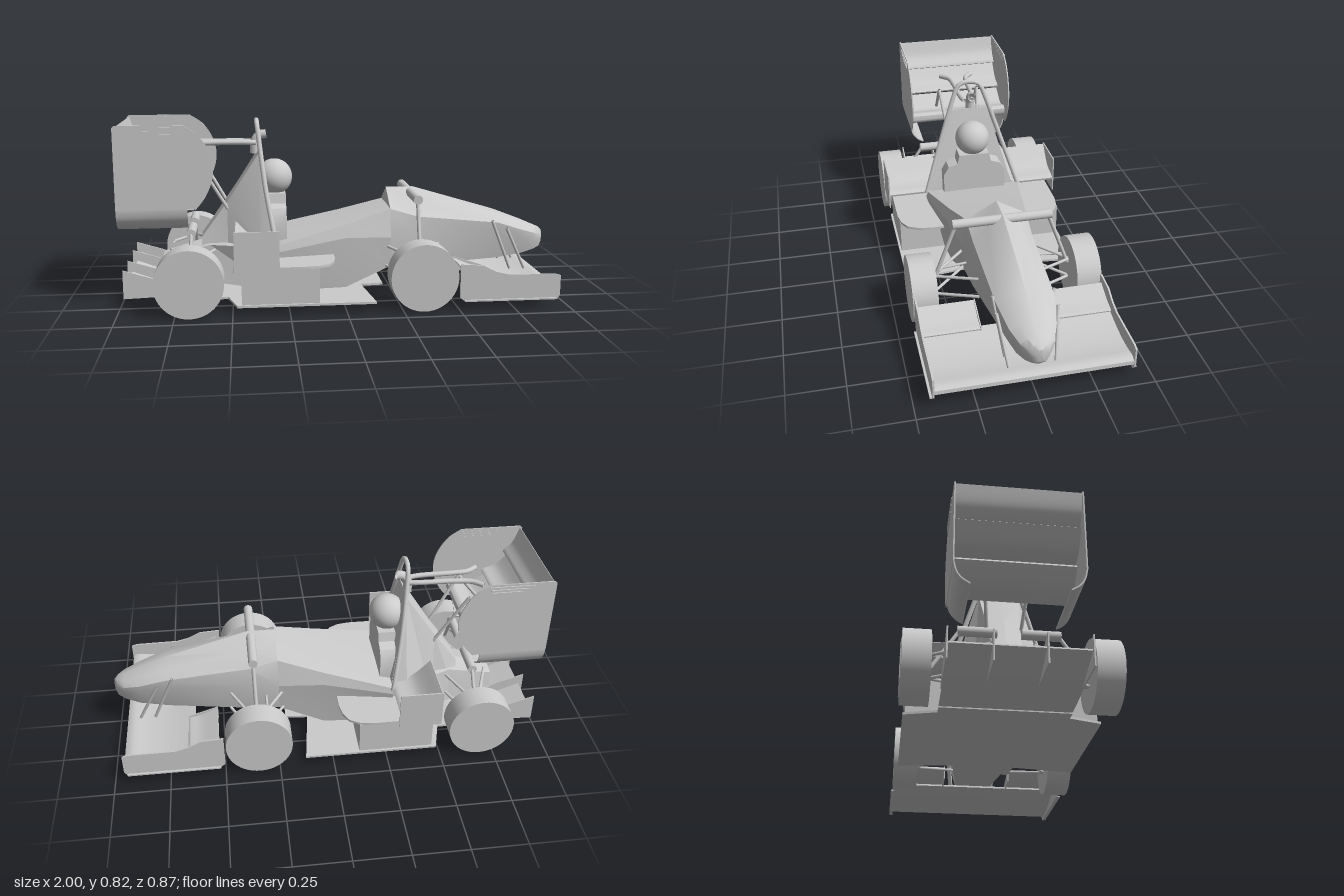
import * as THREE from 'three';
import { toCreasedNormals } from 'three/addons/utils/BufferGeometryUtils.js';

const mat = new THREE.MeshStandardMaterial({ color: 0xcccccc, side: THREE.DoubleSide });
const V = (a) => new THREE.Vector3(...a);
const shapeOf = (pts) => new THREE.Shape(pts.map(([a, b]) => new THREE.Vector2(a, b)));
const spline = (pts) => new THREE.SplineCurve(pts.map(([a, b]) => new THREE.Vector2(a, b)));

export function createModel() {
  const car = new THREE.Group();
  car.name = 'raceCar';

  const add = (name, geo) => {
    const m = new THREE.Mesh(geo, mat);
    m.name = name;
    car.add(m);
    return m;
  };
  // straight rod between two points
  const rod = (name, a, b, r) => add(name, new THREE.TubeGeometry(new THREE.LineCurve3(V(a), V(b)), 1, r, 10));
  // bent pipe through points
  const pipe = (name, pts, r) => add(name,
    new THREE.TubeGeometry(new THREE.CatmullRomCurve3(pts.map(V), false, 'centripetal'), 48, r, 12));
  // capped cylinder lying along z
  const barrel = (name, r, length, x, y, z) =>
    add(name, new THREE.CylinderGeometry(r, r, length, 48).rotateX(Math.PI / 2)).position.set(x, y, z);
  // side outline (x, y) extruded from z0 to z1
  const slabZ = (name, pts, z0, z1) => {
    const g = new THREE.ExtrudeGeometry(shapeOf(pts), { depth: z1 - z0, bevelEnabled: false });
    return add(name, toCreasedNormals(g.translate(0, 0, z0), 0.6));
  };
  // front outline (z, y) extruded from x0 to x1
  const slabX = (name, pts, x0, x1) => {
    const g = new THREE.ExtrudeGeometry(shapeOf(pts), { depth: x1 - x0, bevelEnabled: false });
    return add(name, toCreasedNormals(g.rotateY(-Math.PI / 2).translate(x1, 0, 0), 0.6));
  };
  // plan outline (x, z) extruded from y0 to y1
  const slabY = (name, pts, y0, y1) => {
    const g = new THREE.ExtrudeGeometry(shapeOf(pts), { depth: y1 - y0, bevelEnabled: false });
    return add(name, toCreasedNormals(g.rotateX(Math.PI / 2).translate(0, y1, 0), 0.6));
  };
  // closed outline of a curved strip, thick at the start and thinning to the end
  const strip = (pts, t, taper = 0.2) => {
    const c = spline(pts), up = [], low = [];
    for (let i = 0; i <= 14; i++) {
      const u = i / 14, p = c.getPoint(u), d = c.getTangent(u);
      const h = t / 2 * (1 - u * (1 - taper)) * Math.min(1, 0.35 + u * 6);
      up.push([p.x - d.y * h, p.y + d.x * h]);
      low.unshift([p.x + d.y * h, p.y - d.x * h]);
    }
    return [...up, ...low];
  };
  // skin over mirrored half sections [x, [[z, y] top to bottom]], x increasing
  const loft = (name, sections, crease) => {
    const rings = sections.map(([x, h]) => [...h, ...h.slice(1, -1).reverse().map(([z, y]) => [-z, y])]
      .map(([z, y]) => [x, y, z]));
    const n = rings[0].length, pos = [];
    const tri = (...ps) => ps.forEach((p) => pos.push(...p));
    for (let i = 0; i < rings.length - 1; i++) for (let j = 0; j < n; j++) {
      const a = rings[i], b = rings[i + 1], k = (j + 1) % n;
      tri(a[j], a[k], b[k]);
      tri(a[j], b[k], b[j]);
    }
    const first = rings[0], last = rings[rings.length - 1];
    for (let j = 1; j < n - 1; j++) {
      tri(last[0], last[j], last[j + 1]);
      tri(first[0], first[j + 1], first[j]);
    }
    const g = new THREE.BufferGeometry();
    g.setAttribute('position', new THREE.Float32BufferAttribute(pos, 3));
    return add(name, toCreasedNormals(g, crease));
  };

  // bodywork
  loft('cockpitTub', [
    [-0.3, [[0, 0.275], [0.235, 0.27], [0.24, 0.24], [0.2, 0.05], [0, 0.05]]],
    [0.02, [[0, 0.355], [0.18, 0.35], [0.195, 0.29], [0.17, 0.05], [0, 0.05]]],
    [0.23, [[0, 0.415], [0.14, 0.41], [0.165, 0.28], [0.15, 0.14], [0, 0.14]]],
  ], 0.15);
  loft('nose', [
    [0.23, [[0, 0.49], [0.07, 0.45], [0.14, 0.41], [0.165, 0.28], [0.15, 0.14], [0, 0.14]]],
    [0.36, [[0, 0.49], [0.07, 0.43], [0.135, 0.37], [0.15, 0.28], [0.14, 0.14], [0, 0.14]]],
    [0.75, [[0, 0.375], [0.08, 0.36], [0.125, 0.33], [0.12, 0.28], [0.085, 0.15], [0, 0.135]]],
    [0.88, [[0, 0.325], [0.06, 0.315], [0.098, 0.285], [0.095, 0.25], [0.07, 0.165], [0, 0.155]]],
    [0.95, [[0, 0.295], [0.045, 0.288], [0.07, 0.262], [0.068, 0.235], [0.05, 0.18], [0, 0.17]]],
    [0.985, [[0, 0.28], [0.024, 0.274], [0.04, 0.252], [0.04, 0.23], [0.028, 0.19], [0, 0.183]]],
    [1.0, [[0, 0.265], [0.006, 0.262], [0.012, 0.25], [0.012, 0.225], [0.008, 0.208], [0, 0.203]]],
  ], 0.65);
  loft('engineCover', [
    [-0.64, [[0, 0.29], [0.06, 0.28], [0.11, 0.1], [0, 0.1]]],
    [-0.52, [[0, 0.46], [0.07, 0.445], [0.13, 0.1], [0, 0.1]]],
    [-0.37, [[0, 0.68], [0.09, 0.675], [0.21, 0.26], [0, 0.26]]],
    [-0.3, [[0, 0.29], [0.2, 0.285], [0.235, 0.26], [0, 0.26]]],
  ], 0.2);
  loft('gearbox', [
    [-0.82, [[0, 0.2], [0.07, 0.19], [0.08, 0.12], [0, 0.11]]],
    [-0.6, [[0, 0.27], [0.1, 0.25], [0.12, 0.08], [0, 0.07]]],
    [-0.3, [[0, 0.275], [0.235, 0.26], [0.2, 0.05], [0, 0.05]]],
  ], 0.3);

  // driver, seat and roll hoop
  add('helmet', new THREE.SphereGeometry(0.084, 32, 24)).position.set(-0.3, 0.55, 0);
  slabX('driverTorso', [[-0.155, 0.27], [0.155, 0.27], [0.155, 0.38], [0.13, 0.42], [0.085, 0.435],
    [0.075, 0.48], [-0.075, 0.48], [-0.085, 0.435], [-0.13, 0.42], [-0.155, 0.38]], -0.33, -0.25);
  const hoop = [[-0.3, 0.26, 0.238], [-0.345, 0.52, 0.153], [-0.372, 0.75, 0.076], [-0.377, 0.793, 0.058], [-0.379, 0.812, 0.033]];
  pipe('rollHoop', [...hoop, ...hoop.map(([x, y, z]) => [x, y, -z]).reverse()], 0.011);
  pipe('intakeSnorkel', [[-0.335, 0.75, -0.008], [-0.365, 0.745, -0.008], [-0.385, 0.72, -0.008], [-0.39, 0.66, -0.008]], 0.021);

  // floor with central splitter, diffuser and strakes
  const floorEdge = [[0.2, 0.115], [0.095, 0.125], [0.13, 0.41], [-0.48, 0.41], [-0.52, 0.27], [-0.57, 0.27]];
  slabY('floor', [...floorEdge, ...floorEdge.map(([x, z]) => [x, -z]).reverse()], 0.04, 0.05);
  slabZ('diffuser', strip([[-0.55, 0.048], [-0.75, 0.06], [-0.96, 0.13]], 0.008, 1), -0.27, 0.27);
  for (const z of [-0.27, -0.1, 0.1, 0.27])
    slabZ('diffuserStrake', [[-0.83, 0.06], [-0.98, 0.055], [-0.98, 0.185], [-0.85, 0.145], [-0.7, 0.06]], z - 0.003, z + 0.003);

  // front wing main plane and rear wing elements
  slabZ('frontWing', strip([[0.952, 0.08], [0.85, 0.073], [0.74, 0.087], [0.63, 0.118]], 0.05), -0.42, 0.42);
  slabZ('rearWingMain', strip([[-0.65, 0.515], [-0.75, 0.5], [-0.85, 0.56]], 0.06), -0.252, 0.252);
  slabZ('rearWingLowerFlap', strip([[-0.82, 0.585], [-0.89, 0.61], [-0.95, 0.675]], 0.02), -0.252, 0.252);
  slabZ('rearWingUpperFlap', strip([[-0.92, 0.685], [-0.965, 0.735], [-0.99, 0.812]], 0.016), -0.252, 0.252);

  // rounded leading edge of the rear wing end plates
  const plateNose = spline([[-0.66, 0.44], [-0.612, 0.5], [-0.58, 0.575], [-0.575, 0.65], [-0.597, 0.72],
    [-0.64, 0.78], [-0.7, 0.82]]).getPoints(30).map((p) => [p.x, p.y]);

  barrel('frontDamper', 0.021, 0.45, 0.345, 0.465, 0);

  for (const s of [1, -1]) {
    const pair = (a, b) => [Math.min(s * a, s * b), Math.max(s * a, s * b)];

    // wheels
    for (const [name, x] of [['frontWheel', 0.342], ['rearWheel', -0.685]]) barrel(name, 0.151, 0.113, x, 0.154, s * 0.372);

    // front suspension
    for (const [x, w] of [[0.21, 0.15], [0.46, 0.13]]) {
      rod('frontUpperArm', [x, 0.24, s * w], [0.342, 0.205, s * 0.32], 0.007);
      rod('frontLowerArm', [x, 0.145, s * w], [0.342, 0.11, s * 0.32], 0.007);
    }
    rod('frontSteeringArm', [0.29, 0.22, s * 0.13], [0.29, 0.2, s * 0.32], 0.006);
    rod('frontPushrod', [0.345, 0.46, s * 0.21], [0.342, 0.19, s * 0.31], 0.009);

    // rear suspension
    for (const x of [-0.57, -0.78]) {
      rod('rearUpperArm', [x, 0.23, s * 0.08], [-0.685, 0.21, s * 0.32], 0.007);
      rod('rearLowerArm', [x, 0.13, s * 0.08], [-0.685, 0.11, s * 0.32], 0.007);
    }
    rod('rearPushrod', [-0.68, 0.33, s * 0.2], [-0.685, 0.16, s * 0.31], 0.008);
    barrel('rearDamper', 0.021, 0.16, -0.68, 0.328, s * 0.13);

    // pipes and rods from the hoop to the rear wing
    pipe('rearPipe', [[-0.385, 0.712, s * 0.02], [-0.44, 0.715, s * 0.03], [-0.6, 0.715, s * 0.035],
      [-0.68, 0.713, s * 0.045], [-0.73, 0.71, s * 0.08]], 0.012);
    rod('wingStay', [-0.51, 0.4, s * 0.07], [-0.66, 0.66, s * 0.1], 0.008);
    rod('wingStay', [-0.66, 0.66, s * 0.1], [-0.78, 0.51, s * 0.1], 0.008);

    // sidepod box with rounded lid
    slabY('sidepod', [[-0.46, s * 0.18], [-0.12, s * 0.18], [-0.12, s * 0.4], [-0.46, s * 0.4]], 0.05, 0.205);
    slabY('sidepodLid', [[-0.46, s * 0.18], [-0.04, s * 0.18], [-0.04, s * 0.26], [-0.05, s * 0.32], [-0.075, s * 0.37],
      [-0.12, s * 0.395], [-0.18, s * 0.405], [-0.46, s * 0.405]], 0.205, 0.216);
    // winglet over the sidepod with its end plate
    slabZ('sideWinglet', strip([[-0.3, 0.265], [-0.4, 0.29], [-0.485, 0.375]], 0.03), ...pair(0.18, 0.425));
    slabZ('sideWingletPlate', [[-0.49, 0.2], [-0.295, 0.2], [-0.295, 0.38], [-0.49, 0.38]], ...pair(0.424, 0.43));

    // front wing flap, end plates and mounts
    slabZ('frontFlap', strip([[0.66, 0.125], [0.6, 0.14], [0.52, 0.178]], 0.018), ...pair(0.165, 0.42));
    slabZ('frontFlapPlate', [[0.52, 0.12], [0.66, 0.1], [0.66, 0.14], [0.52, 0.185]], ...pair(0.163, 0.168));
    slabZ('frontEndPlate', [[0.5, 0.06], [0.52, 0.045], [0.94, 0.04], [0.955, 0.06], [0.955, 0.15], [0.93, 0.158],
      [0.72, 0.16], [0.66, 0.175], [0.6, 0.205], [0.5, 0.212]], ...pair(0.417, 0.425));
    slabY('frontEndPlateFoot', [[0.52, s * 0.417], [0.94, s * 0.417], [0.94, s * 0.435], [0.52, s * 0.435]], 0.043, 0.05);
    for (const x of [0.72, 0.79])
      rod('noseMount', [x, 0.34 - (x - 0.72) * 0.5, s * 0.13], [x + 0.1, 0.1, s * 0.1], 0.007);

    // rear wing end plate with curled lower edge and slats
    slabZ('rearEndPlate', [[-1, 0.45], [-0.67, 0.45], ...plateNose.slice(1), [-0.99, 0.82], [-1, 0.81]], ...pair(0.251, 0.257));
    slabX('rearEndPlateCurl', strip([[s * 0.254, 0.455], [s * 0.244, 0.41], [s * 0.222, 0.378], [s * 0.19, 0.357]], 0.006, 1), -1, -0.69);
    for (let i = 0; i < 3; i++)
      add('endPlateSlat', new THREE.BoxGeometry(0.2 - i * 0.03, 0.005, 0.012)).position.set(-0.8 + i * 0.012, 0.808 - i * 0.014, s * 0.256);
  }
  return car;
}
